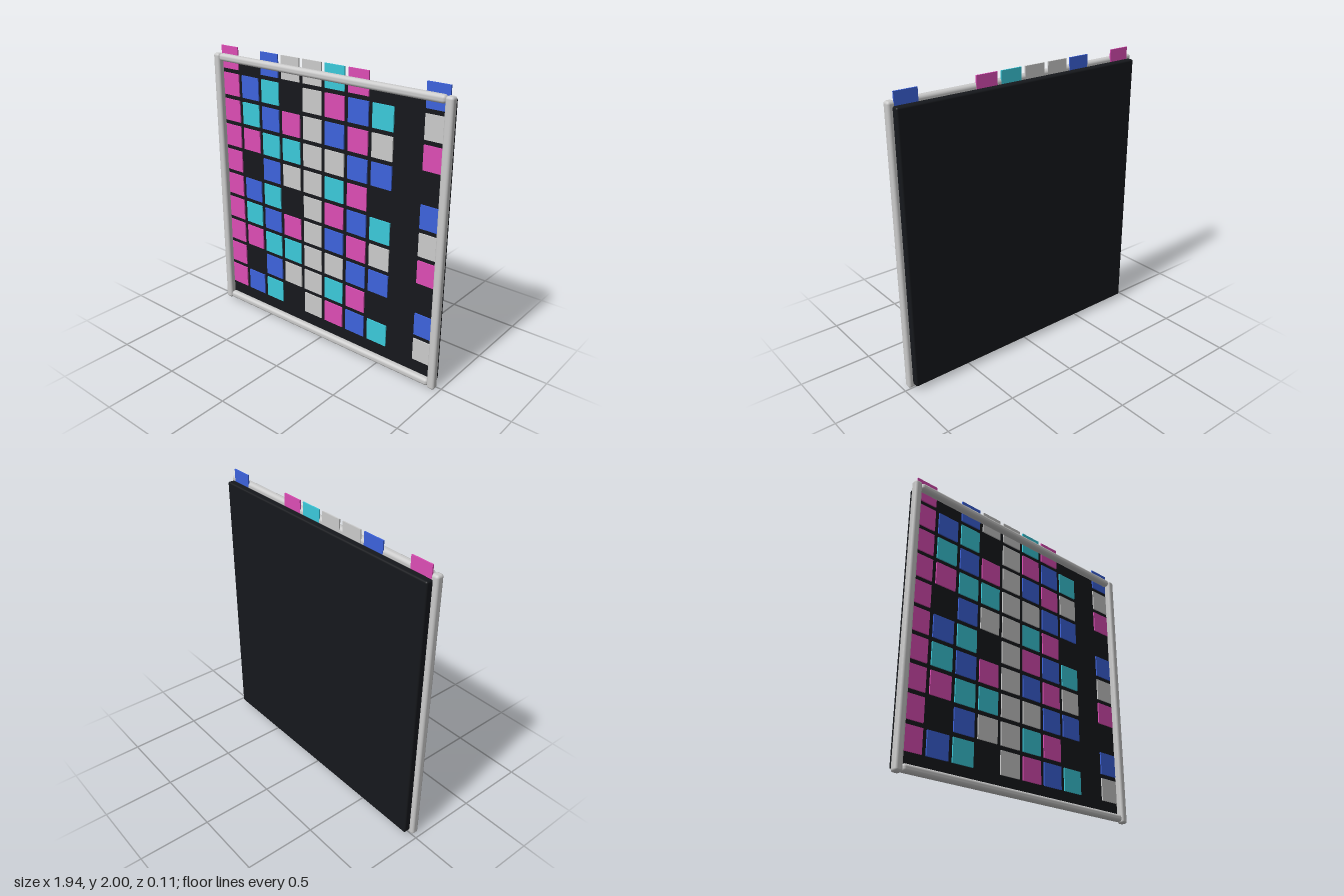
import * as THREE from 'three';
import { RoundedBoxGeometry } from 'three/addons/geometries/RoundedBoxGeometry.js';

const material = (color) => new THREE.MeshStandardMaterial({ color });

function addPart(parent, name, geometry, mat, x, y, z) {
  const mesh = new THREE.Mesh(geometry, mat);
  mesh.name = name;
  mesh.position.set(x, y, z);
  parent.add(mesh);
}

export function createModel() {
  const model = new THREE.Group();
  model.name = 'tileBoard';
  const grey = material(0xcccccc);

  // Dark backing panel
  addPart(model, 'backingPanel', new RoundedBoxGeometry(1.886, 1.885, 0.052, 3, 0.012),
    material(0x16181c), 0, 0.976, -0.027);

  // Rounded frame: two posts with two rails between them
  const frame = new THREE.Group();
  frame.name = 'frame';
  model.add(frame);
  const post = new RoundedBoxGeometry(0.055, 1.945, 0.055, 4, 0.018);
  const rail = new RoundedBoxGeometry(1.835, 0.052, 0.052, 4, 0.021);
  addPart(frame, 'leftPost', post, grey, 0.942, 0.9725, 0.026);
  addPart(frame, 'rightPost', post, grey, -0.942, 0.9725, 0.026);
  addPart(frame, 'topRail', rail, grey, 0, 1.921, 0.026);
  addPart(frame, 'bottomRail', rail, grey, 0, 0.033, 0.026);

  // Coloured tiles: a four-row pattern repeated down the board
  const colours = {
    P: material(0xdd4db5), B: material(0x3d63dd), C: material(0x3bcadb), G: grey,
  };
  const pattern = ['P.BGGCP..B', 'PBC.GPBC.G', 'PCBPGBPG.P', 'PPCCGGBB..'];
  const tiles = new THREE.Group();
  tiles.name = 'tiles';
  model.add(tiles);
  const tile = new THREE.BoxGeometry(0.158, 0.158, 0.009);
  const pitch = 0.1885;
  for (let row = 0; row < 10; row++) {
    [...pattern[row % 4]].forEach((key, column) => {
      if (key === '.') return;
      addPart(tiles, 'tile', tile, colours[key], (column - 4.5) * pitch, 1.921 - row * 0.189, 0.0035);
    });
  }
  return model;
}
